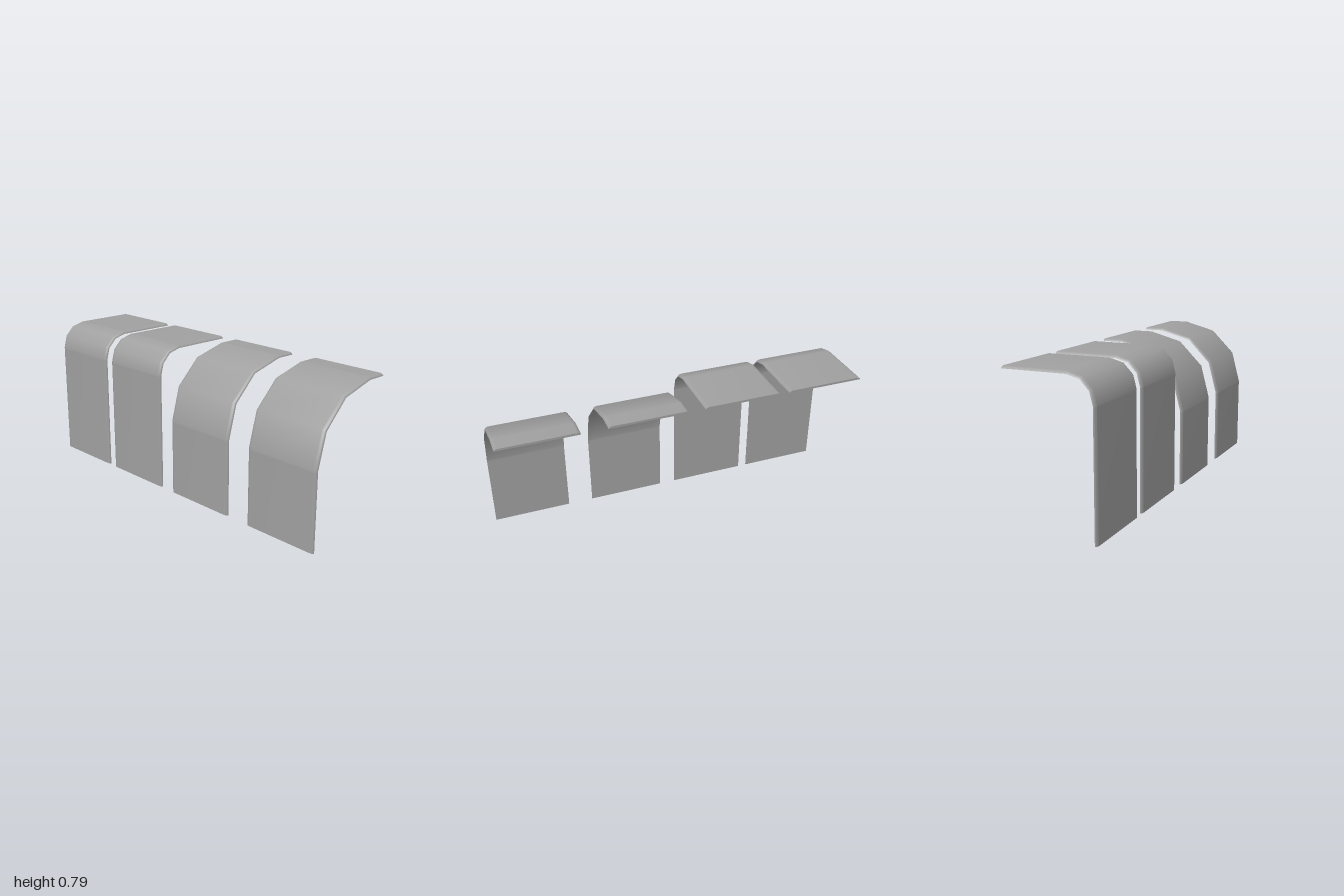
import * as THREE from 'three';
import { mergeGeometries, toCreasedNormals } from 'three/addons/utils/BufferGeometryUtils.js';

const THICK = 0.012, BEVEL = 0.02, WIDTH = 0.43;

// outer side profiles as [z, y], from the floor up and over to the back
const tightBend = [[0.24, 0], [0.24, 0.64], [0.24, 0.65], [0.221, 0.721], [0.169, 0.774],
  [0.098, 0.793], [0.088, 0.793], [-0.24, 0.793]];
const wideBend = [[0.24, 0], [0.24, 0.41], [0.24, 0.42], [0.19, 0.606], [0.053, 0.743],
  [-0.133, 0.793], [-0.143, 0.793], [-0.24, 0.793]];

// inward mitre vector at each profile point, so the sheet keeps its thickness
function mitres(profile) {
  const dir = (a, b) => new THREE.Vector2(b[0] - a[0], b[1] - a[1]).normalize();
  return profile.map((p, i) => {
    const before = dir(profile[Math.max(i - 1, 0)], profile[Math.max(i, 1)]);
    const last = profile.length - 1;
    const after = dir(profile[Math.min(i, last - 1)], profile[Math.min(i + 1, last)]);
    const n1 = new THREE.Vector2(-before.y, before.x);
    const n2 = new THREE.Vector2(-after.y, after.x);
    const sum = n1.clone().add(n2).normalize();
    return sum.divideScalar(sum.dot(n1));
  });
}

// cross-section as [x, depth]: rounded outer edges, flat inner face
function crossSection(softInside) {
  const half = WIDTH / 2, pts = [];
  for (let k = 0; k <= 4; k++) {
    const a = (k / 4) * Math.PI / 2;
    pts.push([-half + BEVEL * (1 - Math.cos(a)), THICK * (1 - Math.sin(a))]);
  }
  for (let k = 4; k >= 0; k--) pts.push([-pts[k][0], pts[k][1]]);
  if (softInside) pts.push([half - 0.04, THICK], [-half + 0.04, THICK]);
  return pts;
}

function panelGeometry(profile, softInside) {
  const section = crossSection(softInside), inward = mitres(profile), m = section.length;
  const point = (i, j) => {
    const [x, d] = section[j % m];
    return [x, profile[i][1] + inward[i].y * d, profile[i][0] + inward[i].x * d];
  };
  const build = (positions, crease) => {
    const g = new THREE.BufferGeometry();
    g.setAttribute('position', new THREE.Float32BufferAttribute(positions, 3));
    return toCreasedNormals(g, THREE.MathUtils.degToRad(crease));
  };
  // swept skin
  const skin = [];
  for (let i = 0; i < profile.length - 1; i++) {
    for (let j = 0; j < m; j++) {
      const a = point(i, j), b = point(i, j + 1), c = point(i + 1, j + 1), d = point(i + 1, j);
      skin.push(...a, ...b, ...c, ...a, ...c, ...d);
    }
  }
  // flat end caps
  const caps = [], end = profile.length - 1;
  for (let j = 5; j < m + 3; j++) {
    caps.push(...point(0, 4), ...point(0, j + 1), ...point(0, j));
    caps.push(...point(end, 4), ...point(end, j), ...point(end, j + 1));
  }
  return mergeGeometries([build(skin, softInside ? 100 : 40), build(caps, 20)]);
}

export function createModel() {
  const group = new THREE.Group();
  group.name = 'curvedPanels';
  const grey = new THREE.MeshStandardMaterial({ color: 0xa0a0a0 });
  grey.name = 'grey';

  // four separate bent sheets in a row
  const panels = [
    ['tightPanelOuter', tightBend, -0.785, true],
    ['tightPanelInner', tightBend, -0.305, false],
    ['widePanelInner', wideBend, 0.215, true],
    ['widePanelOuter', wideBend, 0.785, false],
  ];
  for (const [name, profile, x, softInside] of panels) {
    const mesh = new THREE.Mesh(panelGeometry(profile, softInside), grey);
    mesh.name = name;
    mesh.position.x = x;
    group.add(mesh);
  }
  return group;
}
